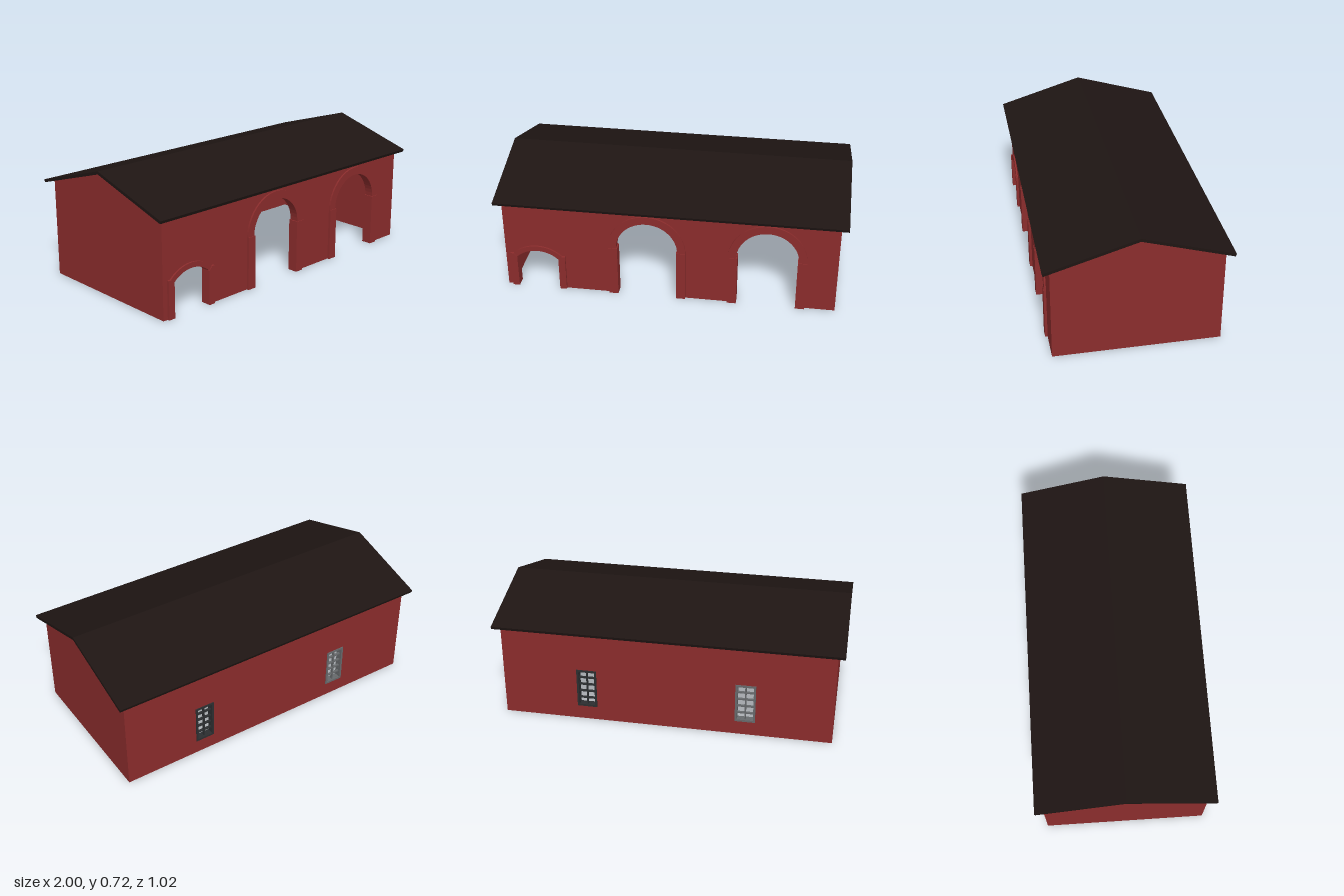
import * as THREE from 'three';

const brick = new THREE.MeshStandardMaterial({ color: 0x8b2c2c });
const roofMat = new THREE.MeshStandardMaterial({ color: 0x1e1513 });
const darkIron = new THREE.MeshStandardMaterial({ color: 0x2b2e30 });
const greyIron = new THREE.MeshStandardMaterial({ color: 0x66696b });

const HX = 0.96, HZ = 0.467, T = 0.033;   // half length, half depth, wall thickness
const EAVE = 0.567, RIDGE = 0.707;

// Round arches and the low segmental arch: r = ring radii, a = half angle of the arc
const arches = [
  { x: -0.125, cy: 0.31, ri: 0.177, ro: 0.223, a: Math.PI / 2, inner: 0.17, outer: 0.223 },
  { x: 0.564, cy: 0.31, ri: 0.177, ro: 0.223, a: Math.PI / 2, inner: 0.17, outer: 0.223 },
  { x: -0.768, cy: 0.074, ri: 0.176, ro: 0.206, a: 0.774, inner: 0.123, outer: 0.163 },
];
const windows = [
  { x: 0.462, mat: darkIron, name: 'windowLeft' },
  { x: -0.462, mat: greyIron, name: 'windowRight' },
];
const WY0 = 0.085, WY1 = 0.32, WW = 0.0585;

function polygon(points, Type = THREE.Shape) {
  return new Type(points.map(([x, y]) => new THREE.Vector2(x, y)));
}

function rect(x0, y0, x1, y1, Type) {
  return polygon([[x0, y0], [x1, y0], [x1, y1], [x0, y1]], Type);
}

// Extrude a shape drawn in x, y between two z positions
function slab(name, shape, z0, z1, material) {
  const geo = new THREE.ExtrudeGeometry(shape, { depth: z1 - z0, bevelEnabled: false, curveSegments: 24 });
  geo.translate(0, 0, z0);
  const mesh = new THREE.Mesh(geo, material);
  mesh.name = name;
  return mesh;
}

function arcPoints(cx, cy, r, a, n = 24) {
  return Array.from({ length: n + 1 }, (_, i) => {
    const t = a - (2 * a * i) / n;
    return [cx + r * Math.sin(t), cy + r * Math.cos(t)];
  });
}

// Front wall outline that runs round each opening from the ground up
function frontWall() {
  const pts = [[-HX + T, EAVE], [-HX + T, 0]];
  for (const { x, cy, ri, a } of [...arches].sort((p, q) => p.x - q.x)) {
    const arc = arcPoints(x, cy, ri, a).reverse();
    pts.push([arc[0][0], 0], ...arc, [arc[arc.length - 1][0], 0]);
  }
  pts.push([HX - T, 0], [HX - T, EAVE]);
  return slab('frontWall', polygon(pts), HZ - T, HZ, brick);
}

// Arch ring on two slightly prouder piers
function archSurround({ x, cy, ri, ro, a, inner, outer }, i) {
  const g = new THREE.Group();
  g.name = 'archSurround' + (i + 1);
  const ring = [...arcPoints(x, cy, ro, a), ...arcPoints(x, cy, ri, a).reverse()];
  g.add(slab('archRing', polygon(ring), HZ - T - 0.01, HZ + 0.01, brick));
  const s = Math.sin(a), c = Math.cos(a);
  for (const side of [-1, 1]) {
    const pts = [[inner, 0], [outer, 0], [outer, cy + ro * c], [ro * s, cy + ro * c],
      [ri * s, cy + ri * c], [inner, cy + ri * c]].map(([px, py]) => [x + side * px, py]);
    g.add(slab('pier', polygon(pts), HZ - T - 0.014, HZ + 0.014, brick));
  }
  return g;
}

function backWall() {
  const shape = rect(-HX + T, 0, HX - T, EAVE);
  for (const { x } of windows) {
    shape.holes.push(rect(x - WW + 0.003, WY0 + 0.003, x + WW - 0.003, WY1 - 0.003, THREE.Path));
  }
  return slab('backWall', shape, -HZ, -HZ + T, brick);
}

// Deep frame with a grid of two by five panes
function windowUnit({ x, mat, name }) {
  const g = new THREE.Group();
  g.name = name;
  const f = 0.012, bar = 0.007, cols = 2, rows = 5;
  const x0 = x - WW + f, x1 = x + WW - f, y0 = WY0 + f, y1 = WY1 - f;
  const frame = rect(x - WW, WY0, x + WW, WY1);
  frame.holes.push(rect(x0, y0, x1, y1, THREE.Path));
  g.add(slab('windowFrame', frame, -HZ - 0.005, -HZ + T + 0.004, mat));
  const grid = rect(x0, y0, x1, y1);
  const w = (x1 - x0 - bar * (cols - 1)) / cols, h = (y1 - y0 - bar * (rows - 1)) / rows;
  for (let i = 0; i < cols; i++) {
    for (let j = 0; j < rows; j++) {
      const px = x0 + i * (w + bar), py = y0 + j * (h + bar);
      // keep the outer panes just inside the frame edge
      const e = 0.0005;
      grid.holes.push(rect(px + e, py + e, px + w - e, py + h - e, THREE.Path));
    }
  }
  g.add(slab('glazingBars', grid, -HZ + 0.006, -HZ + 0.02, mat));
  return g;
}

// Turn a profile drawn in z, y into a part running along x
function alongX(mesh) {
  mesh.rotation.y = -Math.PI / 2;
  return mesh;
}

export function createModel() {
  const model = new THREE.Group();
  model.name = 'archedShed';
  model.add(frontWall(), backWall());
  arches.forEach((a, i) => model.add(archSurround(a, i)));
  windows.forEach((w) => model.add(windowUnit(w)));

  // Gable ends
  const gable = [[-HZ, 0], [HZ, 0], [HZ, EAVE], [0, RIDGE], [-HZ, EAVE]];
  model.add(alongX(slab('gableLeft', polygon(gable), -HX, -HX + T, brick)));
  model.add(alongX(slab('gableRight', polygon(gable), HX - T, HX, brick)));

  // Pitched roof with square-cut eaves
  const roof = [[0, 0.724], [-0.51, 0.571], [-0.505, 0.555], [0, RIDGE], [0.505, 0.555], [0.51, 0.571]];
  model.add(alongX(slab('roof', polygon(roof), -1, 1, roofMat)));
  return model;
}
